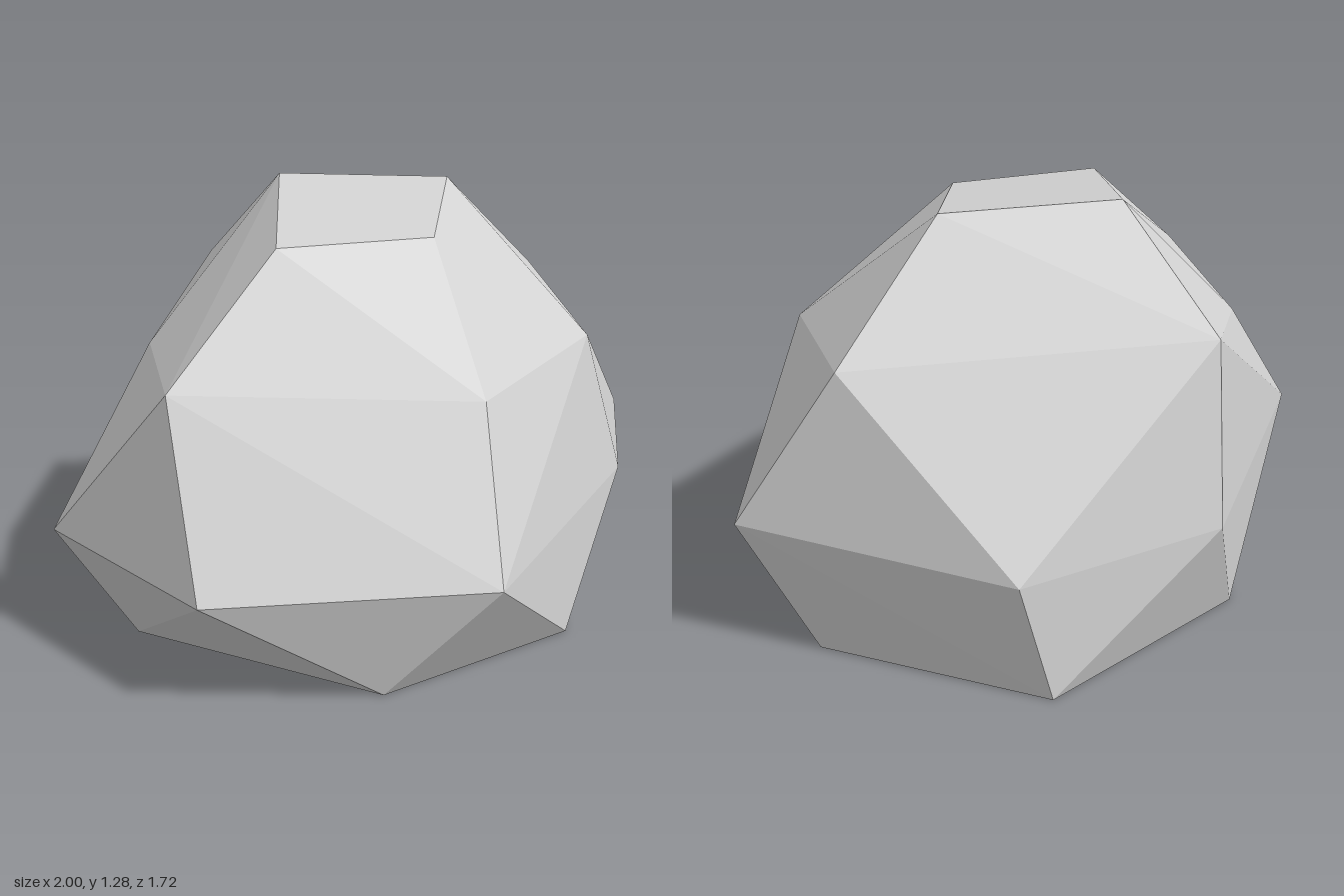
import * as THREE from 'three';
import { ConvexGeometry } from 'three/addons/geometries/ConvexGeometry.js';

export function createModel() {
  const group = new THREE.Group();
  group.name = 'boulder';

  const stone = new THREE.MeshStandardMaterial({ color: 0xd2d2d2 });
  stone.name = 'light grey stone';

  // Corners of the faceted rock, ring by ring from the ground up
  const base = [
    [0.13, 0, 0.71], [0.85, 0, 0.02], [0.6, 0, -0.68],
    [-0.19, 0, -0.73], [-0.8, 0, -0.21], [-0.55, 0, 0.6],
  ];
  const belly = [
    [-0.34, 0.34, 0.86], [0.6, 0.36, 0.53], [1, 0.41, 0.2], [0.69, 0.38, -0.63],
    [0.06, 0.4, -0.86], [-0.97, 0.34, -0.38], [-1, 0.33, 0.33],
  ];
  const shoulder = [
    [-0.17, 0.8, 0.63], [0.46, 0.83, 0.49], [0.81, 0.9, -0.05],
    [0, 0.95, -0.78], [-0.52, 0.81, -0.46], [-0.87, 0.85, 0.06],
  ];
  const crown = [
    [-0.02, 1.19, 0.28], [0.39, 1.26, -0.05], [-0.02, 1.28, -0.4], [-0.44, 1.19, 0.05],
  ];

  // Flat facets stretched over all corners
  const corners = [...base, ...belly, ...shoulder, ...crown].map((p) => new THREE.Vector3(...p));
  const rock = new THREE.Mesh(new ConvexGeometry(corners), stone);
  rock.name = 'rock';
  group.add(rock);
  return group;
}
